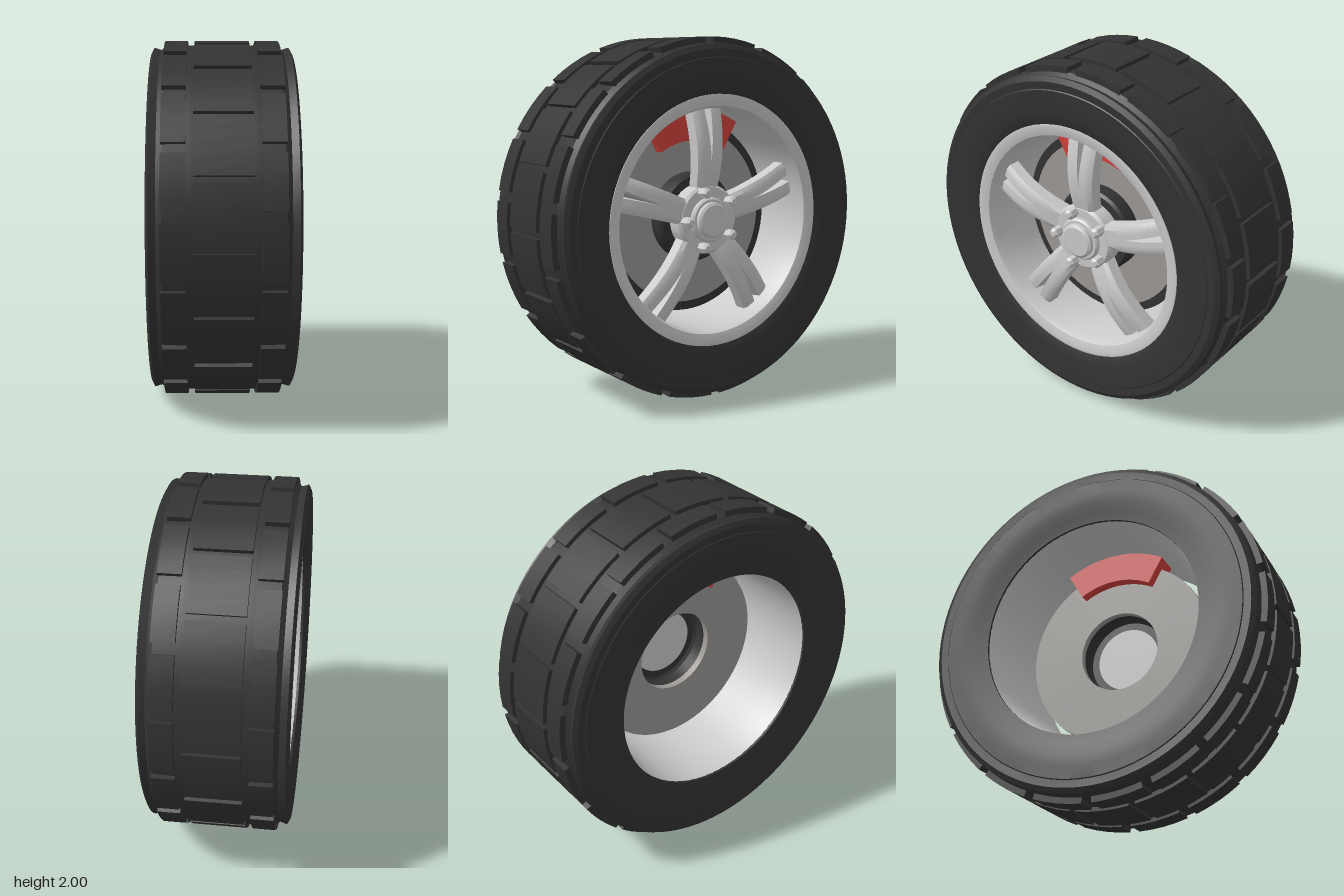
import * as THREE from 'three';
import { toCreasedNormals } from 'three/addons/utils/BufferGeometryUtils.js';

const RAD = Math.PI / 180;
const lerp = THREE.MathUtils.lerp;
const material = (color) => new THREE.MeshStandardMaterial({ color, side: THREE.DoubleSide });

const rubber = material(0x333333);
const alloy = material(0xcccccc);
const steel = material(0x9d9a96);
const red = material(0xd4423c);

// Turned part about the x axis, from [radius, x] pairs
function turned(name, profile, mat, segments = 72) {
  const points = profile.map(([r, x]) => new THREE.Vector2(r, x));
  const geometry = new THREE.LatheGeometry(points, segments).rotateZ(-Math.PI / 2);
  const mesh = new THREE.Mesh(toCreasedNormals(geometry, 30 * RAD), mat);
  mesh.name = name;
  return mesh;
}

// Moves every vertex of a geometry by a rule, then restores crisp normals
function reshape(geometry, rule) {
  const p = geometry.attributes.position;
  for (let i = 0; i < p.count; i++) p.setXYZ(i, ...rule(p.getX(i), p.getY(i), p.getZ(i)));
  geometry.computeVertexNormals();
  return toCreasedNormals(geometry, 30 * RAD);
}

// Box bent around the axle: centred on straight up, spanning the given angle
function arcBlock(x0, x1, r0, r1, degrees, segments) {
  return reshape(new THREE.BoxGeometry(1, 1, 1, 1, 1, segments), (u, v, w) => {
    const r = lerp(r0, r1, v + 0.5);
    const a = w * degrees * RAD;
    return [lerp(x0, x1, u + 0.5), r * Math.cos(a), r * Math.sin(a)];
  });
}

// One half of a forked spoke: bowed outward, with a slit opening toward the rim
function prong(side) {
  return reshape(new THREE.BoxGeometry(1, 1, 1, 1, 14, 3), (u, v, w) => {
    const t = v + 0.5;
    const r = lerp(0.12, 0.635, t);
    const slit = Math.max(0, (r - 0.33) / 0.3);
    const inner = slit * (u > 0 ? 0.024 : 0.012);
    const outer = lerp(0.068, 0.1, t);
    const z = side > 0 ? lerp(inner, outer, w + 0.5) : lerp(-outer, -inner, w + 0.5);
    const front = 0.262 + 0.045 * Math.sin(Math.PI * t) - 0.005 * t;
    const chamfer = Math.abs(z) > outer - 0.005 ? 0.015 : 0;
    return [u > 0 ? front - chamfer : front - 0.085, r, z];
  });
}

export function createModel() {
  const wheel = new THREE.Group();
  wheel.name = 'wheel';
  wheel.position.y = 1;

  // Tyre carcass with shoulder grooves
  const side = [[0.70, 0.368], [0.76, 0.379], [0.82, 0.384], [0.888, 0.386], [0.893, 0.382],
    [0.935, 0.386], [0.962, 0.372], [0.95, 0.335], [0.972, 0.305]];
  wheel.add(turned('tyre', [
    [0.64, -0.36], ...side.map(([r, x]) => [r, -x]), [0.976, -0.17],
    [0.976, 0.17], ...side.slice().reverse(), [0.69, 0.362], [0.66, 0.33], [0.64, -0.36],
  ], rubber, 90));

  // Tread: one wide row and two narrow rows shifted by half a pitch
  const rows = [
    ['centreTread', -0.15, 0.15, 18, 81],
    ['leftTread', 0.188, 0.312, 16.8, 71.6],
    ['rightTread', -0.312, -0.188, 16.8, 71.6],
  ];
  for (const [name, x0, x1, span, start] of rows) {
    const row = new THREE.Group();
    row.name = name;
    const geometry = arcBlock(x0, x1, 0.955, 1, span, 4);
    for (let i = 0; i < 18; i++) {
      const block = new THREE.Mesh(geometry, rubber);
      block.name = 'treadBlock';
      block.rotation.x = (start + 20 * i) * RAD;
      row.add(block);
    }
    wheel.add(row);
  }

  // Rim: outer lip and open barrel
  wheel.add(turned('rim', [
    [0.66, -0.362], [0.645, -0.36], [0.636, -0.33], [0.622, -0.15], [0.617, 0.1],
    [0.618, 0.33], [0.63, 0.358], [0.675, 0.372], [0.695, 0.37], [0.695, 0.34],
  ].reverse(), alloy));

  // Five forked spokes
  const prongs = [prong(1), prong(-1)];
  for (let i = 0; i < 5; i++) {
    const spoke = new THREE.Group();
    spoke.name = 'spoke';
    spoke.rotation.x = 72 * i * RAD;
    for (const geometry of prongs) {
      const half = new THREE.Mesh(geometry, alloy);
      half.name = 'spokeProng';
      spoke.add(half);
    }
    wheel.add(spoke);
  }

  // Hub with stepped centre cap
  wheel.add(turned('hub', [[0, 0.17], [0.19, 0.17], [0.195, 0.265], [0.18, 0.28], [0, 0.28]], alloy, 48));
  wheel.add(turned('centreCap', [
    [0.125, 0.27], [0.125, 0.295], [0.115, 0.305], [0.1, 0.305], [0.1, 0.325], [0.085, 0.335], [0, 0.335],
  ], alloy, 48));

  // Wheel nuts
  const nutProfile = [[0, 0.26], [0.03, 0.26], [0.03, 0.33], [0.018, 0.342], [0, 0.342]];
  for (let i = 0; i < 5; i++) {
    const nut = turned('wheelNut', nutProfile, alloy, 6);
    const a = (90 + 72 * i) * RAD;
    nut.position.set(0, 0.16 * Math.cos(a), 0.16 * Math.sin(a));
    wheel.add(nut);
  }

  // Brake disc, its dark outer ring and the hollow bearing housing
  wheel.add(turned('brakeDisc', [[0.24, 0.04], [0.55, 0.04], [0.55, 0.06], [0.5, 0.06], [0.5, 0.08], [0.24, 0.08], [0.24, 0.04]], steel));
  wheel.add(turned('discRing', [[0.5, 0.055], [0.552, 0.055], [0.552, 0.068], [0.5, 0.068]], rubber));
  wheel.add(turned('bearingHousing', [[0.25, 0.04], [0.25, 0.16], [0.235, 0.175], [0, 0.175]], rubber, 48));

  // Brake caliper straddling the top of the disc
  const caliper = new THREE.Mesh(arcBlock(-0.02, 0.13, 0.43, 0.603, 60, 16), red);
  caliper.name = 'brakeCaliper';
  wheel.add(caliper);

  const model = new THREE.Group();
  model.name = 'model';
  model.add(wheel);
  return model;
}
